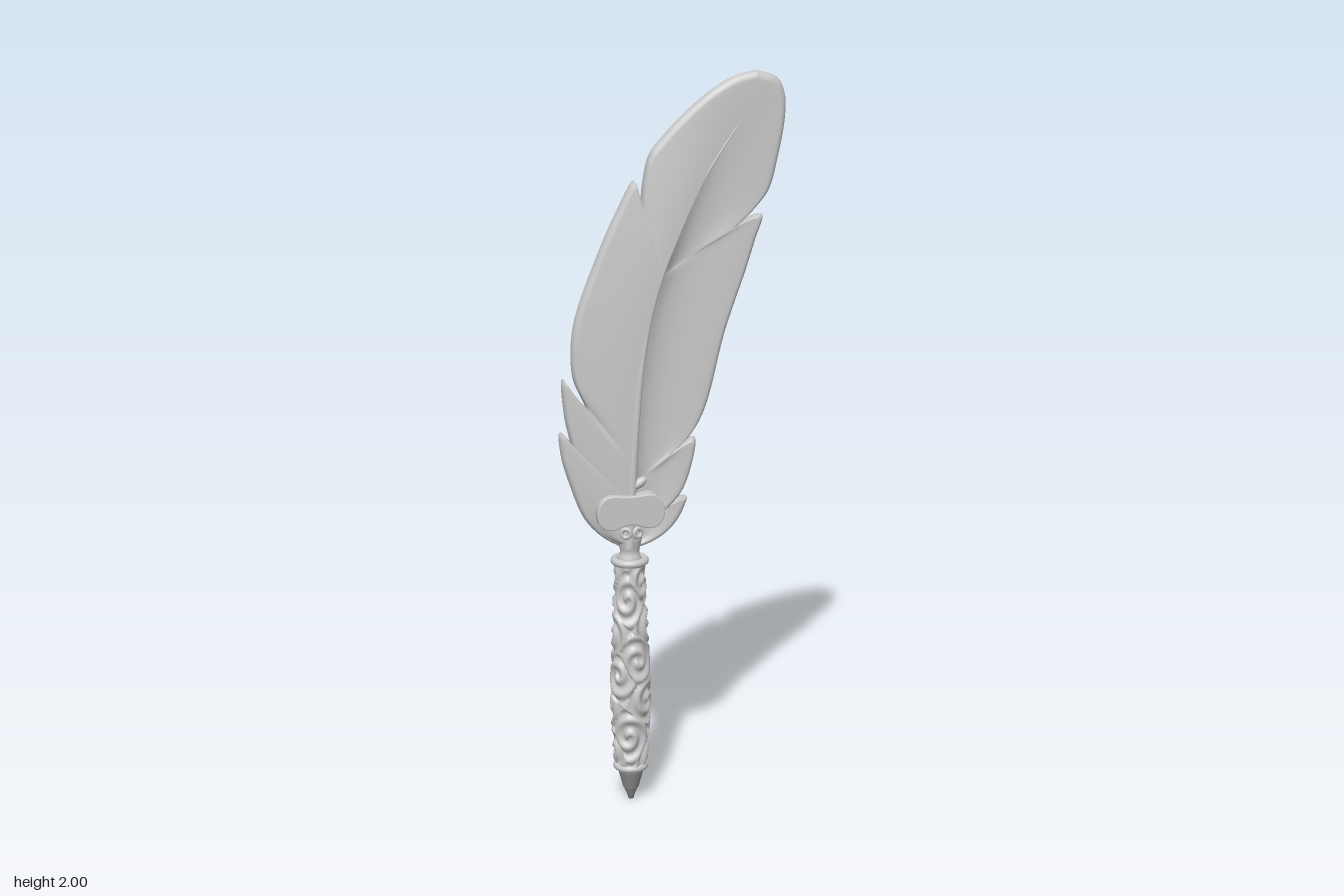
import * as THREE from 'three';

function material(name, color) {
  const m = new THREE.MeshStandardMaterial({ color });
  m.name = name;
  return m;
}
const lightGrey = material('lightGrey', 0xc8c8c8);
const darkGrey = material('darkGrey', 0x8e8e8e);
const AXIS = -0.12; // x of the handle

function add(group, name, geometry, x = 0, y = 0, z = 0, mat = lightGrey) {
  const mesh = new THREE.Mesh(geometry, mat);
  mesh.name = name;
  mesh.position.set(x, y, z);
  group.add(mesh);
  return mesh;
}

const spline = (pts) => new THREE.CatmullRomCurve3(pts.map((p) => new THREE.Vector3(...p)), false, 'centripetal');

// Grid of rows of points -> smooth indexed surface
function loft(rows, flip) {
  const n = rows[0].length, index = [];
  for (let i = 0; i < rows.length - 1; i++) {
    for (let j = 0; j < n - 1; j++) {
      const a = i * n + j, b = a + 1, c = a + n, d = c + 1;
      if (flip) index.push(a, c, b, b, c, d);
      else index.push(a, b, c, b, d, c);
    }
  }
  const g = new THREE.BufferGeometry();
  g.setAttribute('position', new THREE.Float32BufferAttribute(rows.flat(2), 3));
  g.setIndex(index);
  g.computeVertexNormals();
  return g;
}

// Shaft line of the feather
const shaft = spline([[-0.125, 0.74, 0], [-0.115, 0.95, 0], [-0.09, 1.235, 0], [-0.055, 1.41, 0],
  [0.01, 1.58, 0], [0.09, 1.74, 0], [0.17, 1.86, 0]]);
const shaftLine = shaft.getPoints(300);
const shaftAt = (y) => shaftLine.find((p) => p.y >= y) || shaftLine[300];

// Vane edges: x, y, and the height on the shaft where the barb starts
const leftEdge = [[-0.13, 0.73, 0.74], [-0.19, 0.765, 0.75], [-0.24, 0.82, 0.77], [-0.28, 0.92, 0.8],
  [-0.302, 1.0, 0.83], [-0.305, 1.065, 0.85], [-0.29, 1.05, 0.86], [-0.262, 0.985, 0.87], [-0.28, 1.05, 0.89],
  [-0.293, 1.12, 0.92], [-0.296, 1.21, 0.94], [-0.278, 1.185, 0.95], [-0.235, 1.13, 0.97], [-0.265, 1.2, 1.0],
  [-0.272, 1.27, 1.05], [-0.262, 1.36, 1.12], [-0.2, 1.53, 1.28], [-0.15, 1.64, 1.38], [-0.1, 1.725, 1.46],
  [-0.094, 1.69, 1.47], [-0.085, 1.655, 1.48], [-0.077, 1.72, 1.5], [-0.06, 1.79, 1.54], [-0.02, 1.84, 1.6],
  [0.04, 1.9, 1.68], [0.11, 1.955, 1.76], [0.17, 1.987, 1.82], [0.225, 2.0, 1.86]];
const rightEdge = [[-0.13, 0.73, 0.74], [-0.07, 0.74, 0.75], [-0.01, 0.775, 0.76], [0.025, 0.82, 0.78],
  [0.042, 0.868, 0.79], [0.02, 0.85, 0.8], [-0.012, 0.835, 0.81], [0.025, 0.88, 0.82], [0.05, 0.94, 0.84],
  [0.063, 1.03, 0.87], [0.04, 1.022, 0.88], [0.005, 1.0, 0.9], [0.05, 1.04, 0.93], [0.09, 1.11, 1.0],
  [0.145, 1.32, 1.17], [0.2, 1.48, 1.32], [0.225, 1.56, 1.4], [0.243, 1.625, 1.46], [0.215, 1.62, 1.47],
  [0.178, 1.6, 1.48], [0.22, 1.64, 1.52], [0.26, 1.69, 1.57], [0.285, 1.78, 1.66], [0.302, 1.88, 1.76],
  [0.3, 1.94, 1.81], [0.28, 1.98, 1.84], [0.225, 2.0, 1.86]];

// Half of the feather: barbs swept from shaft to edge, domed front, rounded rim, flat back
function vane(edge, side) {
  const rows = spline(edge).getSpacedPoints(220).map((e) => {
    const root = shaftAt(e.z);
    const len = Math.hypot(e.x - root.x, e.y - root.y);
    const rim = Math.min(0.022, len * 0.4);
    const fade = THREE.MathUtils.smoothstep(1.87 - e.z, 0, 0.35);
    const row = [];
    const put = (dist, z) => {
      const k = len ? dist / len : 0;
      row.push([root.x + (e.x - root.x) * k, root.y + (e.y - root.y) * k, z]);
    };
    for (let j = 0; j <= 12; j++) {
      const k = j / 12;
      const relief = side < 0 ? 0.018 * Math.cos(k * Math.PI / 2)
        : 0.016 * Math.exp(-k * 10) - 0.012 * Math.sin(Math.PI * k) * (1 - k);
      put((len - rim) * k, 0.008 + relief * fade);
    }
    for (let j = 1; j < 10; j++) {
      const a = Math.PI * (0.5 - j / 10);
      put(len - rim + rim * Math.cos(a) ** 0.9, -0.014 + 0.022 * Math.sin(a));
    }
    for (let j = 0; j <= 6; j++) put((len - rim) * (1 - j / 6), -0.036 - 0.003 * Math.sin(j / 6 * Math.PI / 2));
    return row;
  });
  return loft(rows, side < 0);
}

// Tapered raised quill along the shaft
function quill() {
  const rows = shaft.getSpacedPoints(60).map((p, i) => {
    const t = i / 60, r = 0.012 * (1 - t) + 0.002;
    const tan = shaft.getTangentAt(t), row = [];
    for (let j = 0; j <= 12; j++) {
      const a = (j / 12) * Math.PI * 2 - Math.PI / 2;
      row.push([p.x + tan.y * r * Math.cos(a), p.y - tan.x * r * Math.cos(a),
        0.022 - 0.014 * t * t + r * Math.sin(a)]);
    }
    return row;
  });
  return loft(rows, true);
}

// Handle with scrollwork raised by spirals around staggered centres
function handleGeometry() {
  const profile = new THREE.SplineCurve([[0.043, 0.1], [0.046, 0.16], [0.05, 0.24], [0.052, 0.32], [0.049, 0.42],
    [0.046, 0.52], [0.041, 0.62], [0.039, 0.7]].map((p) => new THREE.Vector2(...p)));
  const g = new THREE.LatheGeometry(profile.getPoints(150), 80);
  const pos = g.attributes.position;
  const centres = [];
  for (let i = 0; i < 8; i++) {
    for (let j = 0; j < 2; j++) centres.push([j * Math.PI + i * 1.9, 0.13 + i * 0.073 + j * 0.03, (i + j) % 2 ? 1 : -1]);
  }
  for (let i = 0; i < pos.count; i++) {
    const x = pos.getX(i), y = pos.getY(i), z = pos.getZ(i);
    const theta = Math.atan2(z, x);
    let best = 1, height = 0;
    for (const [a, cy, spin] of centres) {
      const du = Math.atan2(Math.sin(theta - a), Math.cos(theta - a)) * 0.046, dv = (y - cy) * 0.8;
      const d = Math.hypot(du, dv);
      if (d < best) {
        best = d;
        height = Math.cos(d * 190 - spin * Math.atan2(dv, du));
      }
    }
    const ends = THREE.MathUtils.smoothstep(Math.min(y - 0.1, 0.7 - y), 0, 0.03);
    const k = 1 + ends * 0.0045 * height / Math.hypot(x, z);
    pos.setXYZ(i, x * k, y, z * k);
  }
  g.computeVertexNormals();
  return g;
}

// Bean-shaped plaque
function plaqueGeometry() {
  const s = new THREE.Shape();
  s.moveTo(0, 0.04);
  s.bezierCurveTo(0.03, 0.04, 0.04, 0.045, 0.055, 0.043);
  s.bezierCurveTo(0.1, 0.037, 0.1, -0.045, 0.055, -0.045);
  s.bezierCurveTo(0.03, -0.045, 0.03, -0.034, 0, -0.034);
  s.bezierCurveTo(-0.03, -0.034, -0.03, -0.045, -0.055, -0.045);
  s.bezierCurveTo(-0.1, -0.045, -0.1, 0.037, -0.055, 0.043);
  s.bezierCurveTo(-0.04, 0.045, -0.03, 0.04, 0, 0.04);
  return new THREE.ExtrudeGeometry(s, { depth: 0.034, bevelEnabled: true, bevelSize: 0.004,
    bevelThickness: 0.004, bevelSegments: 2, curveSegments: 14 });
}

export function createModel() {
  const model = new THREE.Group();
  model.name = 'quillPen';

  const feather = new THREE.Group();
  feather.name = 'feather';
  add(feather, 'leftHandVane', vane(leftEdge, -1));
  add(feather, 'rightHandVane', vane(rightEdge, 1));
  add(feather, 'shaft', quill());
  model.add(feather);

  // Plaque and the small leaf above it
  add(model, 'plaque', plaqueGeometry(), AXIS - 0.003, 0.846, 0.002);
  const leaf = add(model, 'leaf', new THREE.SphereGeometry(1, 16, 10), -0.098, 0.92, 0.02);
  leaf.scale.set(0.026, 0.013, 0.014);
  leaf.rotation.z = 0.6;

  // Neck ornament between feather and collar
  const neck = [[0.001, 0.69], [0.03, 0.7], [0.026, 0.725], [0.03, 0.745], [0.034, 0.77], [0.028, 0.795], [0.001, 0.81]];
  const neckMesh = add(model, 'neck', new THREE.LatheGeometry(
    new THREE.SplineCurve(neck.map((p) => new THREE.Vector2(...p))).getPoints(30), 32), AXIS);
  neckMesh.scale.z = 0.95;
  for (const s of [-1, 1]) {
    const curl = add(model, 'neckCurl', new THREE.TorusGeometry(0.012, 0.006, 8, 20), AXIS + s * 0.016, 0.785, 0.03);
    curl.rotation.y = s * 0.4;
  }

  // Handle, collars and nib
  add(model, 'handle', handleGeometry(), AXIS);
  for (const [y, r] of [[0.7, 0.041], [0.105, 0.038]]) {
    const ring = add(model, 'collar', new THREE.TorusGeometry(r, 0.011, 12, 48), AXIS, y);
    ring.rotation.x = Math.PI / 2;
  }
  const cap = [[0.04, 0.705], [0, 0.705]].map((p) => new THREE.Vector2(...p));
  add(model, 'handleTop', new THREE.LatheGeometry(cap, 32), AXIS);
  const nib = [[0, 0], [0.007, 0.003], [0.012, 0.02], [0.019, 0.035], [0.022, 0.04], [0.034, 0.085], [0.038, 0.1], [0, 0.1]];
  add(model, 'nib', new THREE.LatheGeometry(nib.map((p) => new THREE.Vector2(...p)), 32), AXIS, 0, 0, darkGrey);
  return model;
}
